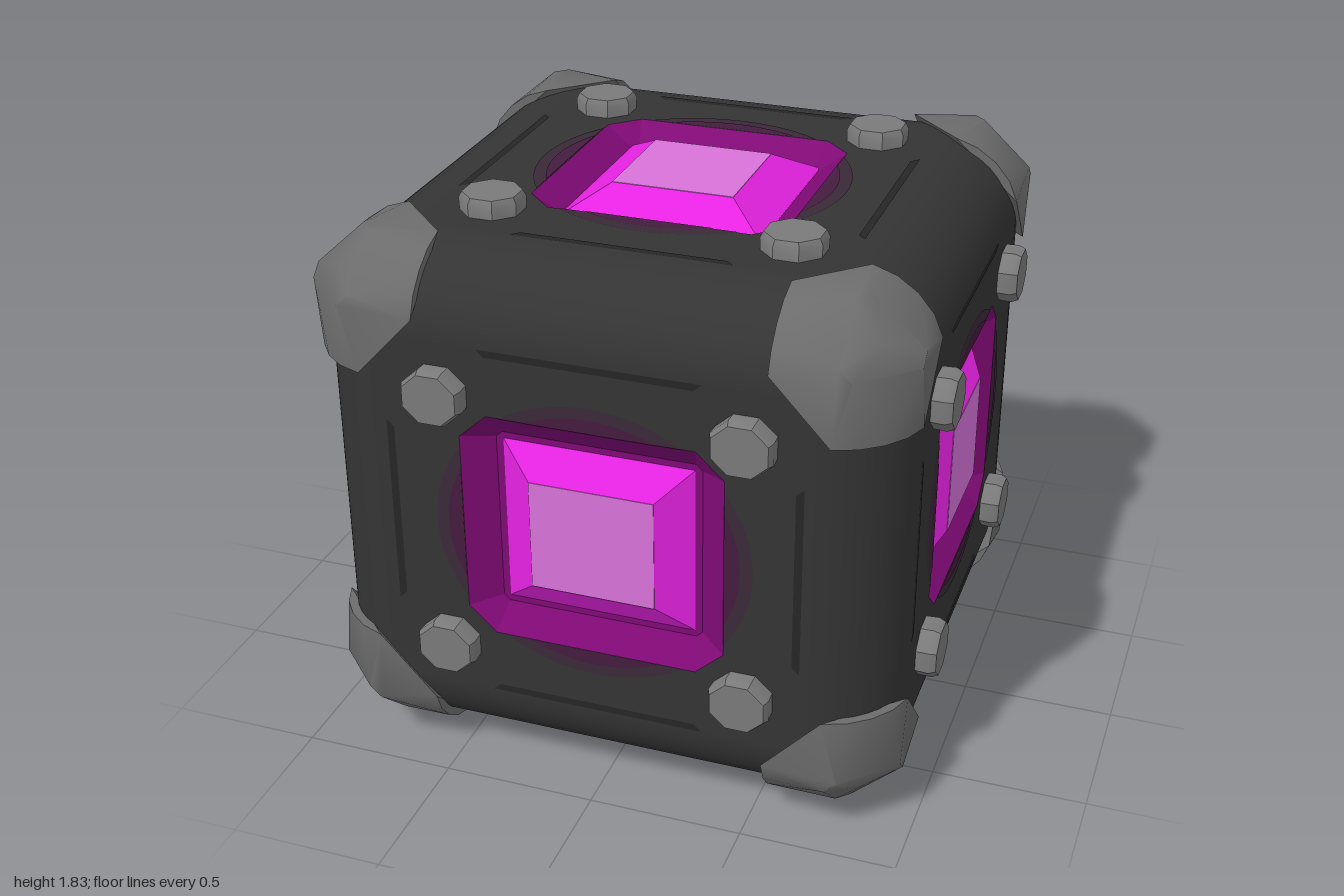
import * as THREE from 'three';
import { toCreasedNormals } from 'three/addons/utils/BufferGeometryUtils.js';
import { ConvexGeometry } from 'three/addons/geometries/ConvexGeometry.js';

const FACE = 0.935;   // distance of the flat faces from the centre
const FLAT = 0.655;   // half width of the flat part of each face
const R = FACE - FLAT; // rounding of the edges
const SQUASH = 0.915; // the crate is slightly lower than wide
const FLOOR = 0.865;  // depth of the window recess

const mat = (name, color) => {
  const m = new THREE.MeshStandardMaterial({ color });
  m.name = name;
  return m;
};

const toShape = (points) => new THREE.Shape(points.map(([x, y]) => new THREE.Vector2(x, y)));

// Square of half width h with corners clipped by c, counter-clockwise
const octagon = (h, c) => [
  [h, c - h], [h, h - c], [h - c, h], [c - h, h],
  [-h, h - c], [-h, c - h], [c - h, -h], [h - c, -h],
];

// Flat shape lying at height z
const plate = (shape, z) => new THREE.ShapeGeometry(shape, 12).translate(0, 0, z);

// Sloping wall between two loops of equal length
function wallBetween(outer, zOuter, inner, zInner) {
  const pos = [];
  outer.forEach((a, i) => {
    const j = (i + 1) % outer.length;
    pos.push(...a, zOuter, ...outer[j], zOuter, ...inner[j], zInner);
    pos.push(...a, zOuter, ...inner[j], zInner, ...inner[i], zInner);
  });
  const g = new THREE.BufferGeometry();
  g.setAttribute('position', new THREE.Float32BufferAttribute(pos, 3));
  g.computeVertexNormals();
  return g;
}

// Part of a glow disc of radius r that shows beside the window, on the +x side
function glowSegment(r, z) {
  const a = Math.acos(0.42 / r);
  return plate(new THREE.Shape().absarc(0, 0, r, -a, a, false), z);
}

// Rounded, faceted corner cap for the +x +y +z corner
function cornerCapGeometry() {
  const pts = [];
  const add = (x, y, z) => pts.push(new THREE.Vector3(x, y, z));
  const c = FLAT, arc = [[0.735, 0.952], [0.952, 0.735]];
  [30, 45, 60].forEach((deg) => {
    const a = THREE.MathUtils.degToRad(deg);
    arc.push([c + 0.31 * Math.cos(a), c + 0.31 * Math.sin(a)]);
  });
  // rims across the three edges of the crate
  arc.forEach(([u, v]) => {
    add(0.548, u, v);
    add(u, 0.515, v);
    add(u, v, 0.548);
  });
  // shoulders and tip
  [[0.952, 0.79, 0.75], [0.952, 0.75, 0.79]].forEach(([x, y, z]) => {
    add(x, y, z);
    add(z, x, y);
    add(y, z, x);
  });
  add(0.838, 0.838, 0.838);
  return toCreasedNormals(new ConvexGeometry(pts), 0.8);
}

// Eight-sided bolt with a narrow bevel, pointing to +z
function boltGeometry() {
  const profile = [[0.1, 0.9], [0.104, 0.978], [0.093, 1], [0, 1]]
    .map(([x, y]) => new THREE.Vector2(x, y));
  const g = new THREE.LatheGeometry(profile, 8).rotateY(Math.PI / 8).rotateX(Math.PI / 2);
  return toCreasedNormals(g, 0.5);
}

// Low four-sided frustum rising from the recess
function panelGeometry() {
  const g = new THREE.CylinderGeometry(0.2 * Math.SQRT2, 0.33 * Math.SQRT2, 0.085, 4).toNonIndexed();
  g.rotateY(Math.PI / 4).rotateX(Math.PI / 2).translate(0, 0, 0.8925);
  g.computeVertexNormals();
  return g;
}

export function createModel() {
  const black = mat('black shell', 0x343434);
  const seam = mat('dark seam', 0x262626);
  const grey = mat('grey cap', 0x6c6c6c);
  const steel = mat('grey bolt', 0x7a7a7a);
  const purple = mat('dark purple', 0x800a76);
  const magenta = mat('magenta', 0xf024ec);
  const pink = mat('pale pink', 0xd873da);
  const glowFaint = mat('faint glow', 0x3a2938);
  const glowStrong = mat('strong glow', 0x441c3f);

  const root = new THREE.Group();
  root.name = 'crate';
  const crate = new THREE.Group();
  crate.name = 'crateBody';
  crate.scale.y = SQUASH;
  crate.position.y = SQUASH;
  root.add(crate);

  const add = (parent, name, geometry, material) => {
    const m = new THREE.Mesh(geometry, material);
    m.name = name;
    parent.add(m);
    return m;
  };

  // Face pieces, all modelled facing +z
  const hole = octagon(0.42, 0.09);
  const floor = octagon(0.33, 0.02);
  const frame = toShape([[-FLAT, -FLAT], [FLAT, -FLAT], [FLAT, FLAT], [-FLAT, FLAT]]);
  frame.holes.push(toShape(hole));
  const fixedParts = [
    ['faceFrame', plate(frame, FACE), black],
    ['windowWall', wallBetween(hole, FACE, floor, FLOOR), purple],
    ['windowFloor', plate(toShape(floor), FLOOR), purple],
  ];
  const panelParts = [
    ['windowPanel', panelGeometry(), magenta],
    ['windowCentre', new THREE.BoxGeometry(0.4, 0.4, 0.004).translate(0, 0, 0.935), pink],
  ];
  const sideParts = [
    ['outerGlow', glowSegment(0.51, FACE + 0.002), glowFaint],
    ['innerGlow', glowSegment(0.47, FACE + 0.004), glowStrong],
    ['groove', plate(toShape([[0.635, -0.325], [0.66, -0.35], [0.66, 0.35], [0.635, 0.325]]),
      FACE + 0.002), seam],
  ];
  const boltGeo = boltGeometry();

  const turns = [[0, 0], [0, 1], [0, 2], [0, 3], [1, 0], [-1, 0]];
  const faceNames = ['front', 'left', 'back', 'right', 'bottom', 'top'];
  turns.forEach(([rx, ry], i) => {
    const face = new THREE.Group();
    face.name = faceNames[i] + 'Face';
    face.rotation.set(rx * Math.PI / 2, ry * Math.PI / 2, 0);
    fixedParts.forEach(([name, geo, m]) => add(face, name, geo, m));
    // the top and bottom panels stand slightly proud
    panelParts.forEach(([name, geo, m]) => { add(face, name, geo, m).scale.z = rx ? 1.02 : 1; });
    for (let k = 0; k < 4; k++) {
      sideParts.forEach(([name, geo, m]) => { add(face, name, geo, m).rotation.z = k * Math.PI / 2; });
      const bolt = add(face, 'bolt', boltGeo, steel);
      bolt.position.set(k % 2 ? 0.483 : -0.483, k < 2 ? 0.483 : -0.483, 0);
    }
    crate.add(face);
  });

  // Rounded edges: four along each axis
  const edgeGeo = new THREE.CylinderGeometry(R, R, FLAT * 2, 10, 1, true, 0, Math.PI / 2)
    .translate(FLAT, 0, FLAT);
  [[0, 0], [Math.PI / 2, 0], [0, Math.PI / 2]].forEach(([rx, rz]) => {
    const ring = new THREE.Group();
    ring.name = 'edgeSet';
    ring.rotation.set(rx, 0, rz);
    for (let k = 0; k < 4; k++) add(ring, 'roundedEdge', edgeGeo, black).rotation.y = k * Math.PI / 2;
    crate.add(ring);
  });

  // Corner caps: four on top, four below
  const capGeo = cornerCapGeometry();
  [0, Math.PI].forEach((rx) => {
    const caps = new THREE.Group();
    caps.name = rx ? 'lowerCaps' : 'upperCaps';
    caps.rotation.x = rx;
    for (let k = 0; k < 4; k++) add(caps, 'cornerCap', capGeo, grey).rotation.y = k * Math.PI / 2;
    crate.add(caps);
  });
  return root;
}
